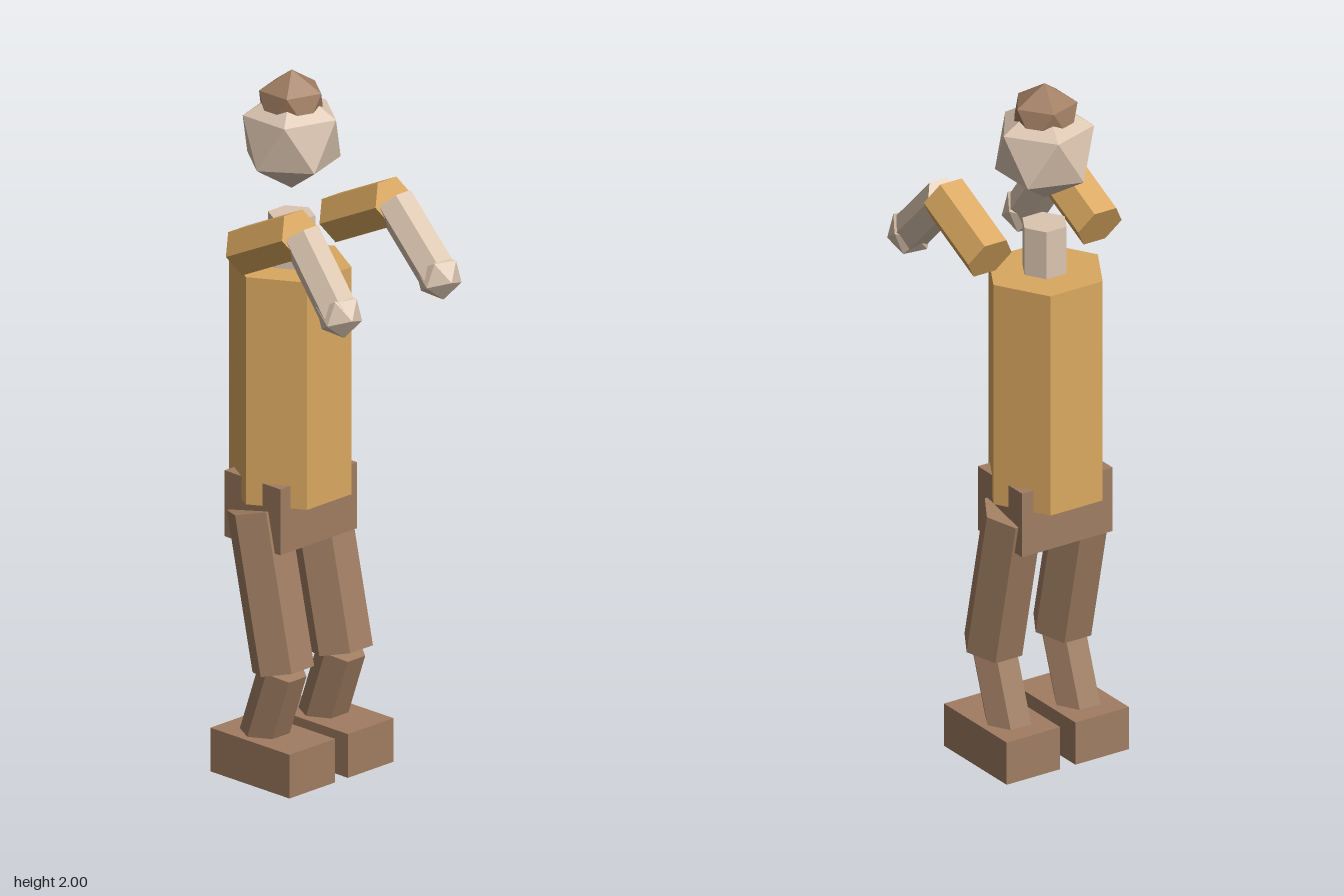
import * as THREE from 'three';

const paint = (name, color) => {
  const m = new THREE.MeshStandardMaterial({ color });
  m.name = name;
  return m;
};

export function createModel() {
  const skin = paint('skin', 0xdbc5b0);
  const shirt = paint('shirt', 0xdaa860);
  const brown = paint('brown', 0xa07d62);
  const model = new THREE.Group();
  model.name = 'figure';

  const add = (name, geometry, material, x, y, z) => {
    const mesh = new THREE.Mesh(geometry, material);
    mesh.name = name;
    mesh.position.set(x, y, z);
    model.add(mesh);
    return mesh;
  };

  // Faceted six-sided prism between two [y, z] points, with a corner on each side
  const prism = (name, material, radius, x, [y0, z0], [y1, z1]) => {
    const length = Math.hypot(y1 - y0, z1 - z0);
    const geometry = new THREE.CylinderGeometry(radius, radius, length, 6)
      .rotateY(Math.PI / 6).toNonIndexed();
    geometry.computeVertexNormals();
    const mesh = add(name, geometry, material, x, (y0 + y1) / 2, (z0 + z1) / 2);
    mesh.rotation.x = Math.atan2(z1 - z0, y1 - y0);
  };

  // Icosahedron standing on a corner
  const ball = (radius) => new THREE.IcosahedronGeometry(radius, 0)
    .rotateZ(-Math.atan(2 / (1 + Math.sqrt(5))));

  // Body
  prism('torso', shirt, 0.171, 0, [0.79, -0.148], [1.445, -0.148]);
  prism('neck', skin, 0.066, 0, [1.40, -0.143], [1.585, -0.143]);
  add('pelvis', new THREE.BoxGeometry(0.296, 0.19, 0.212), brown, 0, 0.76, -0.146);

  // Head and hair
  add('head', ball(0.15), skin, 0, 1.809, -0.143);
  add('hair', ball(0.1), brown, 0, 1.9, -0.143);

  // Hand turned to rest nearly on a face, leaning forward
  const hand = new THREE.IcosahedronGeometry(0.066, 0)
    .rotateX(-0.3649).rotateY(0.82).rotateX(0.21);

  for (const [side, s] of [['left', 1], ['right', -1]]) {
    // Leg
    prism(side + 'Thigh', brown, 0.0875, s * 0.113, [0.763, -0.16], [0.322, -0.063]);
    prism(side + 'Shin', brown, 0.067, s * 0.113, [0.325, -0.063], [0.06, -0.157]);
    add(side + 'Foot', new THREE.BoxGeometry(0.175, 0.126, 0.3), brown, s * 0.1125, 0.063, -0.104);

    // Raised arm, the right forearm hanging slightly lower
    const elbow = [1.627, 0.068];
    const wrist = s > 0 ? [1.457, 0.237] : [1.436, 0.215];
    prism(side + 'UpperArm', shirt, 0.071, s * 0.18, [1.525, -0.145], elbow);
    prism(side + 'Forearm', skin, 0.057, s * 0.18, elbow, wrist);
    add(side + 'Hand', hand, skin, s * 0.18, ...wrist);
  }
  return model;
}
